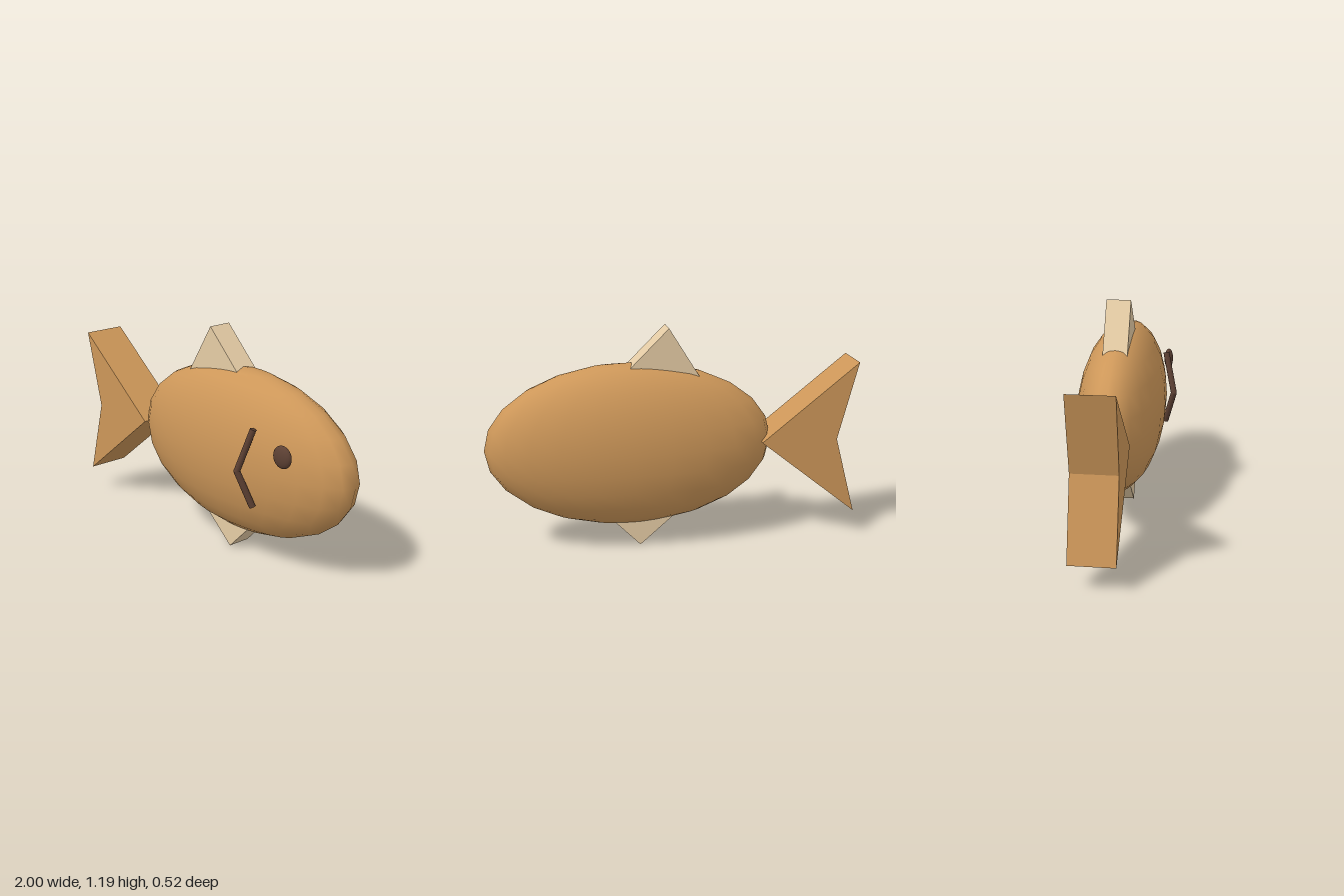
import * as THREE from 'three';

const CENTER_Z = -0.022;
const paint = (color) => new THREE.MeshStandardMaterial({ color });

// Flat plate cut from an outline in x/y, centred on the body's mid-plane
function plate(name, outline, thickness, material) {
  const shape = new THREE.Shape(outline.map(([x, y]) => new THREE.Vector2(x, y)));
  const geometry = new THREE.ExtrudeGeometry(shape, { depth: thickness, bevelEnabled: false });
  geometry.translate(0, 0, CENTER_Z - thickness / 2);
  const mesh = new THREE.Mesh(geometry, material);
  mesh.name = name;
  return mesh;
}

function ellipsoid(name, center, radii, material) {
  const geometry = new THREE.SphereGeometry(1, 24, 12);
  geometry.scale(...radii);
  const mesh = new THREE.Mesh(geometry, material);
  mesh.position.set(...center);
  mesh.name = name;
  return mesh;
}

// Round bar between two points
function bar(name, from, to, radius, material) {
  const direction = to.clone().sub(from);
  const geometry = new THREE.CylinderGeometry(radius, radius, direction.length(), 10);
  const mesh = new THREE.Mesh(geometry, material);
  mesh.position.copy(from).add(to).multiplyScalar(0.5);
  mesh.quaternion.setFromUnitVectors(new THREE.Vector3(0, 1, 0), direction.normalize());
  mesh.name = name;
  return mesh;
}

export function createModel() {
  const model = new THREE.Group();
  model.name = 'fish';
  const skin = paint(0xcd9759);
  const finTan = paint(0xe5cca5);
  const dark = paint(0x5c4033);

  // Body
  model.add(ellipsoid('body', [0.225, 0.557, CENTER_Z], [0.77, 0.443, 0.235], skin));

  // Notched tail and the two fins, whose bases are sunk into the body
  model.add(plate('tail', [[-0.475, 0.556], [-1, 0.976], [-0.89, 0.556], [-1, 0.137]], 0.236, skin));
  model.add(plate('topFin', [[0.023, 1.186], [-0.155, 0.9], [0.31, 0.9]], 0.13, finTan));
  model.add(plate('bottomFin', [[0.182, 0], [0.38, 0.2], [-0.05, 0.2]], 0.13, finTan));

  // Eye on the front side
  model.add(ellipsoid('eye', [0.71, 0.689, 0.19], [0.058, 0.058, 0.025], dark));

  // Bent gill bar
  const gill = new THREE.Group();
  gill.name = 'gill';
  const radius = 0.017;
  const top = new THREE.Vector3(0.508, 0.78, 0.192);
  const bend = new THREE.Vector3(0.447, 0.557, 0.243);
  const bottom = new THREE.Vector3(0.508, 0.37, 0.192);
  const joint = new THREE.Mesh(new THREE.SphereGeometry(radius, 10, 8), dark);
  joint.name = 'gillBend';
  joint.position.copy(bend);
  gill.add(bar('gillUpper', bend, top, radius, dark), bar('gillLower', bottom, bend, radius, dark), joint);
  model.add(gill);

  return model;
}
